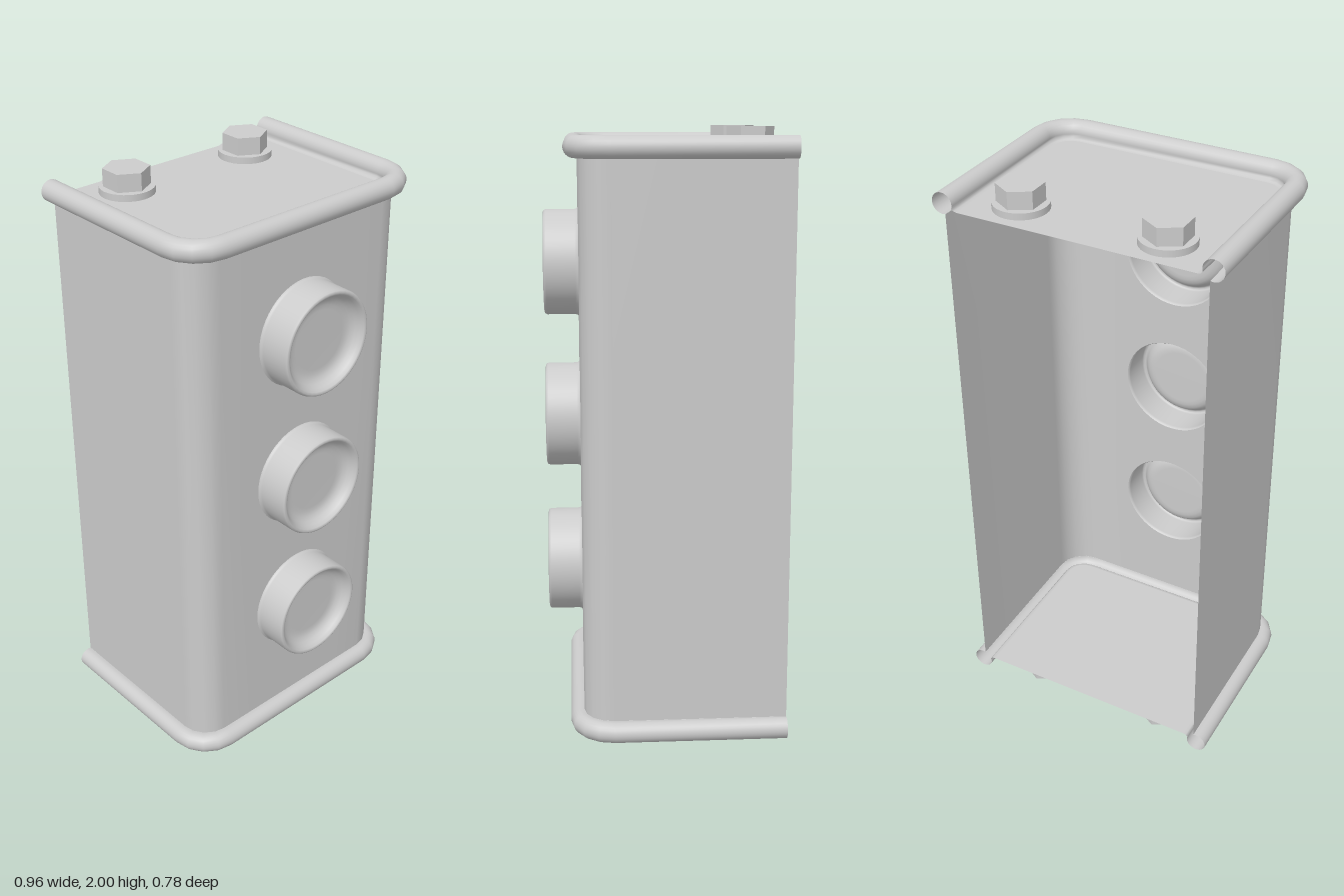
import * as THREE from 'three';

const BACK = -0.39, CX = 0.335, CZ = 0.175; // open back, corner arc centre
const PLATE_Y = 1.92, RIM_Y = 1.94, RIM_R = 0.035;
const grey = new THREE.MeshStandardMaterial({ color: 0xcccccc, side: THREE.DoubleSide });

function add(parent, name, geometry, y = 0) {
  const mesh = new THREE.Mesh(geometry, grey);
  mesh.name = name;
  mesh.position.y = y;
  parent.add(mesh);
  return mesh;
}

// Left half of the U-shaped plan, from the back edge round the corner; r is the corner radius
function halfU(r) {
  const pts = [[CX + r, BACK]];
  for (let i = 0; i <= 4; i++) {
    const a = (i / 4) * Math.PI / 2;
    pts.push([CX + r * Math.cos(a), CZ + r * Math.sin(a)]);
  }
  return pts;
}

function fullU(r) {
  const half = halfU(r);
  return [...half, ...half.map(([x, z]) => [-x, z]).reverse()];
}

// Skin over rows of 3D points
function loft(rows) {
  const n = rows[0].length, index = [];
  for (let j = 0; j < rows.length - 1; j++) {
    for (let i = 0; i < n - 1; i++) {
      const a = j * n + i, b = a + 1, c = a + n, d = c + 1;
      index.push(a, c, b, b, c, d);
    }
  }
  const g = new THREE.BufferGeometry();
  g.setAttribute('position', new THREE.Float32BufferAttribute(rows.flat(2), 3));
  g.setIndex(index);
  g.computeVertexNormals();
  return g;
}

function createBolt() {
  const bolt = new THREE.Group();
  bolt.name = 'bolt';
  add(bolt, 'boltFlange', new THREE.CylinderGeometry(0.089, 0.089, 0.022, 32), PLATE_Y + 0.011);
  const head = new THREE.CylinderGeometry(0.075, 0.075, 0.06, 6).toNonIndexed();
  head.computeVertexNormals();
  add(bolt, 'boltHead', head, 1.97);
  return bolt;
}

// End cap: flat plate, hollow rolled rim and two bolts
function createCap(name) {
  const cap = new THREE.Group();
  cap.name = name;
  const profile = [];
  for (let i = 0; i <= 20; i++) {
    const a = THREE.MathUtils.degToRad(-107 + (307 * i) / 20);
    profile.push([0.11 + RIM_R * Math.cos(a), RIM_Y + RIM_R * Math.sin(a)]);
  }
  profile.push([0.07, PLATE_Y + 0.002], [0.06, PLATE_Y]);
  add(cap, 'rolledRim', loft(profile.map(([r, y]) => fullU(r).map(([x, z]) => [x, y, z]))));

  const outline = new THREE.Shape(fullU(0.06).map(([x, z]) => new THREE.Vector2(x, -z)));
  add(cap, 'endPlate', new THREE.ShapeGeometry(outline).rotateX(-Math.PI / 2), PLATE_Y);

  for (const side of [-1, 1]) {
    const bolt = createBolt();
    bolt.position.set(side * 0.245, 0, -0.267);
    cap.add(bolt);
  }
  return cap;
}

export function createModel() {
  const model = new THREE.Group();
  model.name = 'housing';
  const bottom = 0.094, top = 1.906, panelX = 0.2, frontZ = CZ + 0.1;
  const knobYs = [0.515, 1.035, 1.555];

  // Front panel with an opening behind every knob
  const panel = new THREE.Shape();
  panel.moveTo(-panelX, bottom).lineTo(panelX, bottom).lineTo(panelX, top).lineTo(-panelX, top);
  for (const y of knobYs) {
    panel.holes.push(new THREE.Path().absarc(0, y, 0.18, 0, Math.PI * 2, true));
  }
  add(model, 'frontPanel', new THREE.ShapeGeometry(panel, 24)).position.z = frontZ;

  // Side walls with rounded front corners
  for (const side of [-1, 1]) {
    const plan = [...halfU(0.1), [panelX, frontZ]];
    const rows = [bottom, top].map(y => plan.map(([x, z]) => [side * x, y, z]));
    add(model, side > 0 ? 'leftWall' : 'rightWall', loft(rows));
  }

  // Round dished knobs, hollow behind
  const knobProfile = [
    [0.181, 0.275], [0.177, 0.279], [0.175, 0.286], [0.175, 0.38], [0.172, 0.387], [0.166, 0.39],
    [0.159, 0.387], [0.152, 0.376], [0.143, 0.363], [0.13, 0.353], [0.115, 0.349], [0.1, 0.348], [0, 0.348],
  ].map(([r, z]) => new THREE.Vector2(r, z));
  for (const y of knobYs) {
    add(model, 'knob', new THREE.LatheGeometry(knobProfile, 48).rotateX(Math.PI / 2), y);
  }

  // Matching caps at both ends
  model.add(createCap('topCap'));
  const base = createCap('bottomCap');
  base.rotation.z = Math.PI;
  base.position.y = 2;
  model.add(base);
  return model;
}
